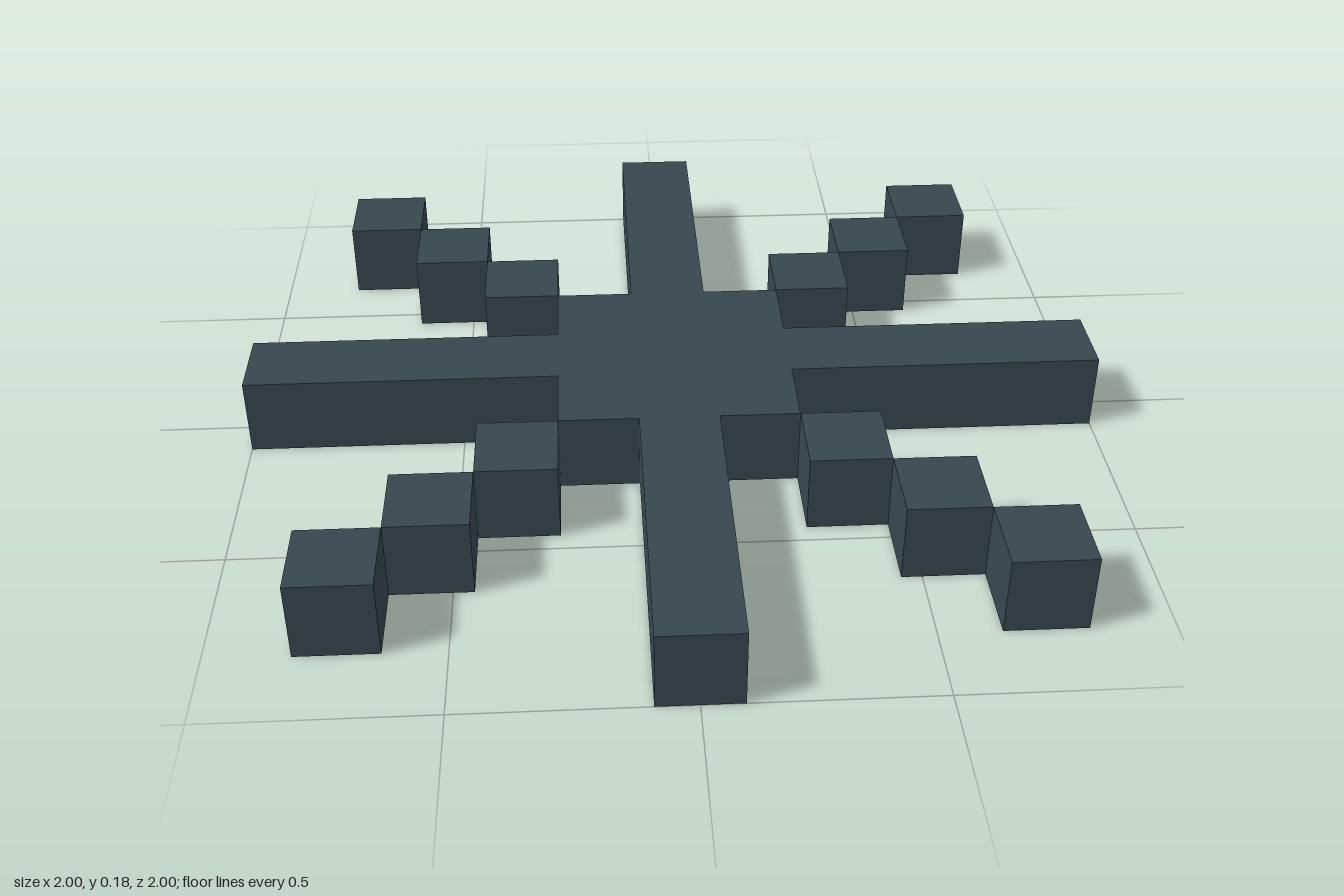
import * as THREE from 'three';

const U = 2 / 11; // one cube of the grid

export function createModel() {
  const model = new THREE.Group();
  model.name = 'blockSnowflake';
  const slate = new THREE.MeshStandardMaterial({ color: 0x37474f });
  slate.name = 'slate';

  // Square hub with four straight arms: one quarter outline, turned four times
  const quarter = [[5.5, -0.5], [5.5, 0.5], [1.5, 0.5], [1.5, 1.5], [0.5, 1.5]];
  const outline = [];
  for (let i = 0; i < 4; i++) {
    for (const [x, y] of quarter) {
      outline.push(new THREE.Vector2(x * U, y * U).rotateAround(new THREE.Vector2(), i * Math.PI / 2));
    }
  }
  const hubGeometry = new THREE.ExtrudeGeometry(new THREE.Shape(outline), { depth: U, bevelEnabled: false });
  hubGeometry.rotateX(-Math.PI / 2);
  const hub = new THREE.Mesh(hubGeometry, slate);
  hub.name = 'hubAndArms';
  model.add(hub);

  // Diagonal chains of three cubes touching at their edges
  const cube = new THREE.BoxGeometry(U, U, U);
  for (const [side, sx] of [['left', 1], ['right', -1]]) {
    for (const [end, sz] of [['Front', 1], ['Back', -1]]) {
      const chain = new THREE.Group();
      chain.name = `${side}${end}Diagonal`;
      for (let step = 2; step <= 4; step++) {
        const block = new THREE.Mesh(cube, slate);
        block.name = `diagonalCube${step - 1}`;
        block.position.set(sx * step * U, U / 2, sz * step * U);
        chain.add(block);
      }
      model.add(chain);
    }
  }
  return model;
}
